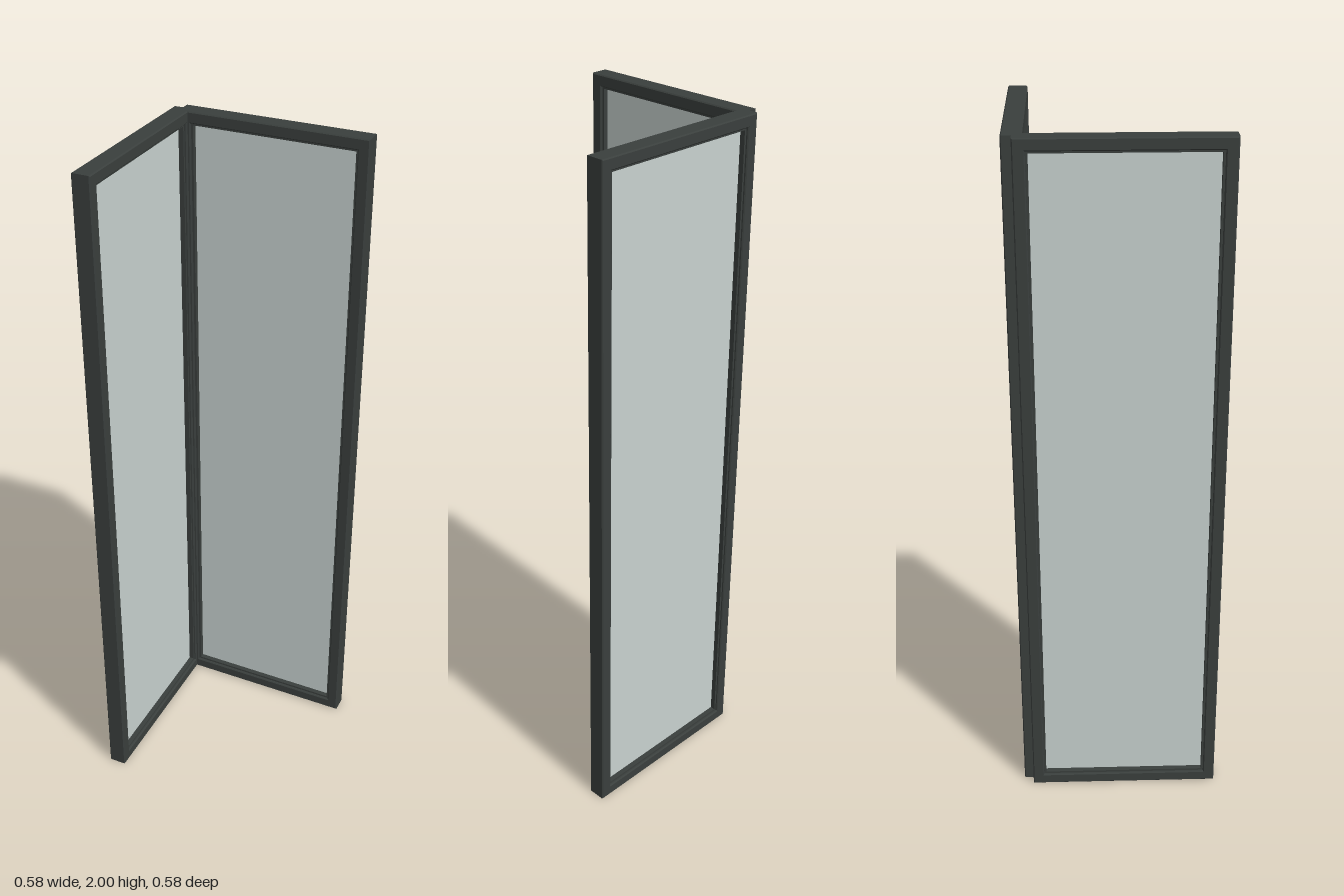
import * as THREE from 'three';

const WIDTH = 0.555, HEIGHT = 2, DEPTH = 0.054, BAR = 0.033, BEAD = 0.006, BEVEL = 0.003;

const frameMaterial = new THREE.MeshStandardMaterial({ color: 0x3a3f3d });
const glassMaterial = new THREE.MeshStandardMaterial({ color: 0xc8d2d0 });

// Rectangle path centred on the origin, inset from the panel outline
function rectangle(path, inset) {
  const x = WIDTH / 2 - inset, y = HEIGHT / 2 - inset;
  path.moveTo(-x, -y).lineTo(x, -y).lineTo(x, y).lineTo(-x, y).closePath();
  return path;
}

// Rectangular ring with chamfered edges, centred in depth
function ring(outer, inner, depth, bevel) {
  const shape = rectangle(new THREE.Shape(), outer + bevel);
  shape.holes.push(rectangle(new THREE.Path(), inner - bevel));
  const geometry = new THREE.ExtrudeGeometry(shape, {
    depth: depth - 2 * bevel, bevelEnabled: bevel > 0,
    bevelThickness: bevel, bevelSize: bevel, bevelSegments: 1,
  });
  return geometry.translate(0, 0, -depth / 2 + bevel);
}

// One framed glass panel
function createPanel(name) {
  const panel = new THREE.Group();
  panel.name = name;
  const add = (part, geometry, material) => {
    const mesh = new THREE.Mesh(geometry, material);
    mesh.name = part;
    panel.add(mesh);
  };
  add('frame', ring(0, BAR, DEPTH, BEVEL), frameMaterial);
  add('glazingBead', ring(BAR - 0.002, BAR + BEAD, DEPTH - 0.014, 0), frameMaterial);
  add('glassPane', new THREE.BoxGeometry(WIDTH - 2 * BAR, HEIGHT - 2 * BAR, 0.01), glassMaterial);
  panel.position.y = HEIGHT / 2;
  return panel;
}

export function createModel() {
  const model = new THREE.Group();
  model.name = 'cornerScreen';

  // Two panels meeting at a right angle in the back right corner
  const back = createPanel('backPanel');
  back.position.x = 0.0135;
  back.position.z = -0.265;

  const side = createPanel('sidePanel');
  side.rotation.y = Math.PI / 2;
  side.position.x = -0.265;
  side.position.z = 0.0135;

  model.add(back, side);
  return model;
}
